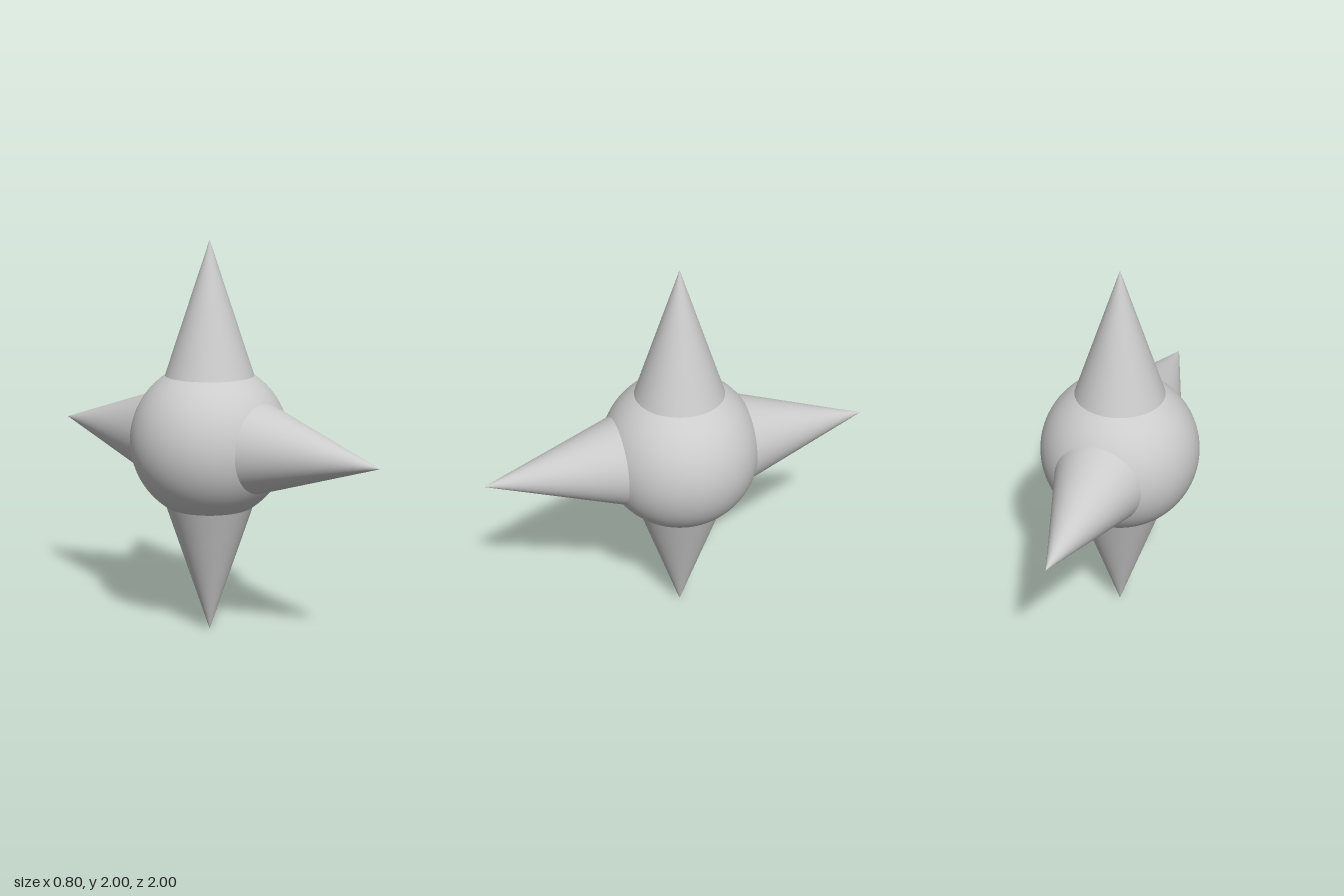
import * as THREE from 'three';

const BODY_RADIUS = 0.4;
const SPIKE_BASE = 0.3;   // distance from the centre, sunk inside the body
const SPIKE_TIP = 1;
const SPIKE_SLOPE = 1 / 3; // radius per unit of length

export function createModel() {
  const model = new THREE.Group();
  model.name = 'spikedBall';
  const material = new THREE.MeshStandardMaterial({ color: 0xcccccc });

  // Round body
  const body = new THREE.Mesh(new THREE.SphereGeometry(BODY_RADIUS, 96, 64), material);
  body.name = 'body';
  body.position.y = 1;
  model.add(body);

  // One cone, measured from the body's centre along +y
  const length = SPIKE_TIP - SPIKE_BASE;
  const spikeGeometry = new THREE.ConeGeometry(length * SPIKE_SLOPE, length, 96);
  spikeGeometry.translate(0, SPIKE_BASE + length / 2, 0);

  // Four spikes in a cross, turned about the x axis
  ['topSpike', 'frontSpike', 'bottomSpike', 'backSpike'].forEach((name, i) => {
    const spike = new THREE.Mesh(spikeGeometry, material);
    spike.name = name;
    spike.position.y = 1;
    spike.rotation.x = (i * Math.PI) / 2;
    model.add(spike);
  });

  return model;
}
